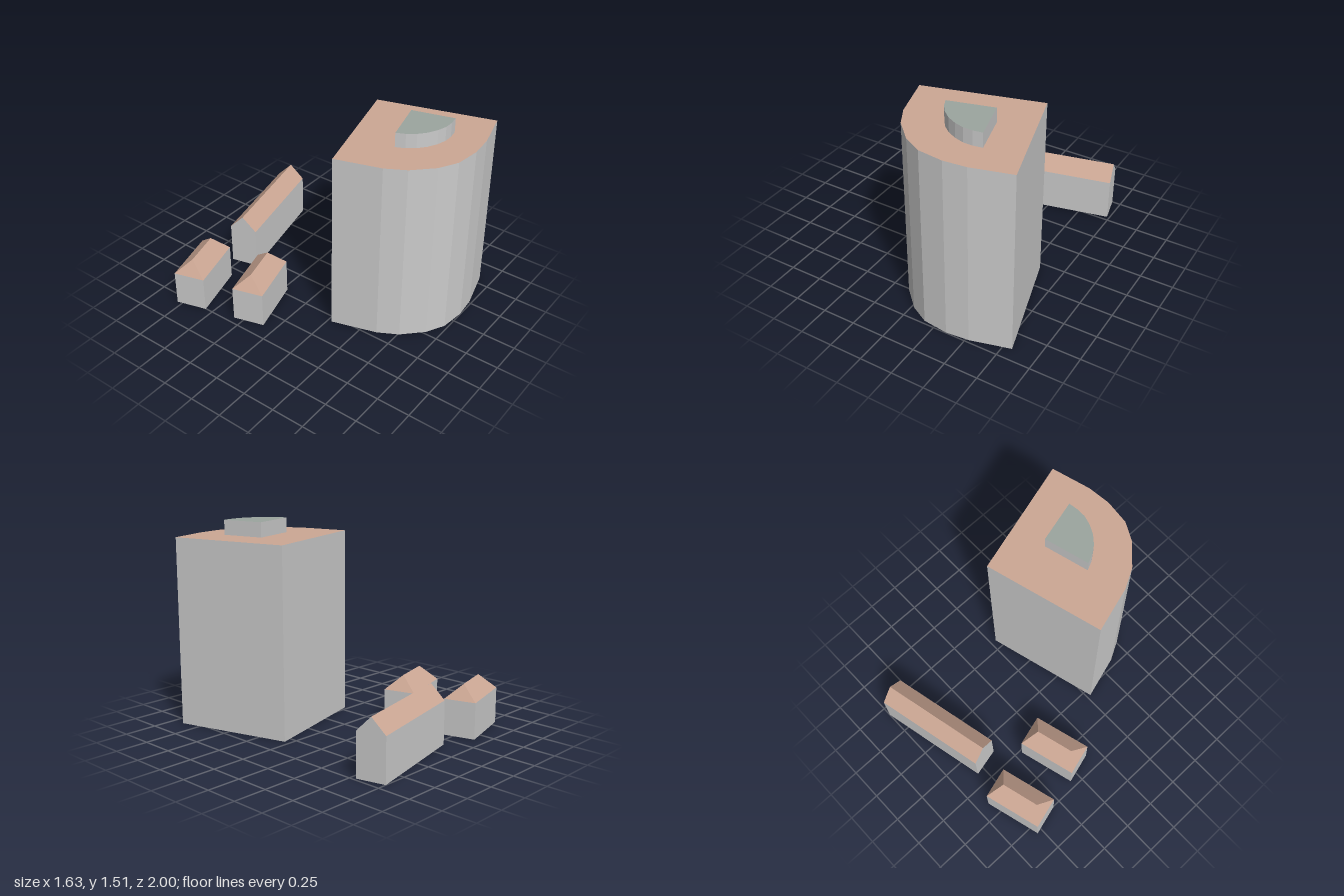
import * as THREE from 'three';

const paint = (color) => new THREE.MeshStandardMaterial({ color, flatShading: true, side: THREE.DoubleSide });
const wallPaint = paint(0xcccccc);
const tilePaint = paint(0xcca794);
const slatePaint = paint(0x9ca59f);

// Mesh from planar convex polygons, each a list of [x, y, z] corners
function polygonMesh(name, polygons, material) {
  const positions = [];
  for (const p of polygons) {
    for (let i = 1; i < p.length - 1; i++) positions.push(...p[0], ...p[i], ...p[i + 1]);
  }
  const geometry = new THREE.BufferGeometry();
  geometry.setAttribute('position', new THREE.Float32BufferAttribute(positions, 3));
  geometry.computeVertexNormals();
  const mesh = new THREE.Mesh(geometry, material);
  mesh.name = name;
  return mesh;
}

const at = ([x, z], y) => [x, y, z];

// Upright walls along a footprint of [x, z] points, clockwise from above
function wallPolygons(footprint, height) {
  return footprint.map((a, i) => {
    const b = footprint[(i + 1) % footprint.length];
    return [at(a, 0), at(a, height), at(b, height), at(b, 0)];
  });
}

// Flat-roofed block, open underneath
function flatBlock(name, footprint, height, roofMaterial) {
  const group = new THREE.Group();
  group.name = name;
  const roof = footprint.map((p) => at(p, height)).reverse();
  group.add(
    polygonMesh(name + 'Walls', wallPolygons(footprint, height), wallPaint),
    polygonMesh(name + 'Roof', [roof], roofMaterial)
  );
  return group;
}

// House with a ridge between two points; the ends are hipped or gabled
function pitchedHouse(name, footprint, eave, ridge, top, gabled) {
  const group = new THREE.Group();
  group.name = name;
  const [a, b, c, d] = footprint.map((p) => at(p, eave));
  const [r0, r1] = ridge.map((p) => at(p, top));
  const slopes = [[b, a, r0, r1], [d, c, r1, r0]];
  const ends = [[c, b, r1], [a, d, r0]];
  const walls = wallPolygons(footprint, eave);
  (gabled ? walls : slopes).push(...ends);
  group.add(
    polygonMesh(name + 'Walls', walls, wallPaint),
    polygonMesh(name + 'Roof', slopes, tilePaint)
  );
  return group;
}

export function createModel() {
  const model = new THREE.Group();
  model.name = 'buildings';

  // Tower with a rounded front corner
  model.add(flatBlock('tower', [
    [-0.3, 0.28], [0.57, 0.045], [0.815, 0.9], [0.52, 0.98], [0.35, 0.997],
    [0.16, 0.975], [0.02, 0.9], [-0.12, 0.76], [-0.2, 0.615]
  ], 1.405, tilePaint));

  // Core rising through the tower roof
  model.add(flatBlock('core', [
    [0.075, 0.525], [0.408, 0.437], [0.49, 0.745], [0.42, 0.756], [0.35, 0.755],
    [0.28, 0.735], [0.21, 0.7], [0.15, 0.65], [0.105, 0.59]
  ], 1.515, slatePaint));

  // Long gabled house
  model.add(pitchedHouse('longHouse',
    [[-0.16, -0.81], [0.68, -1], [0.73, -0.79], [-0.11, -0.6]],
    0.325, [[-0.135, -0.705], [0.705, -0.895]], 0.435, true));

  // Two matching hipped houses
  for (const [name, x, z] of [['backHouse', -0.571, -0.735], ['middleHouse', -0.452, -0.27]]) {
    const shift = ([px, pz]) => [px + x, pz + z];
    model.add(pitchedHouse(name,
      [[-0.247, -0.055], [0.182, -0.174], [0.247, 0.055], [-0.182, 0.174]].map(shift),
      0.272, [[-0.14, 0.038], [0.14, -0.038]].map(shift), 0.38, false));
  }
  return model;
}
